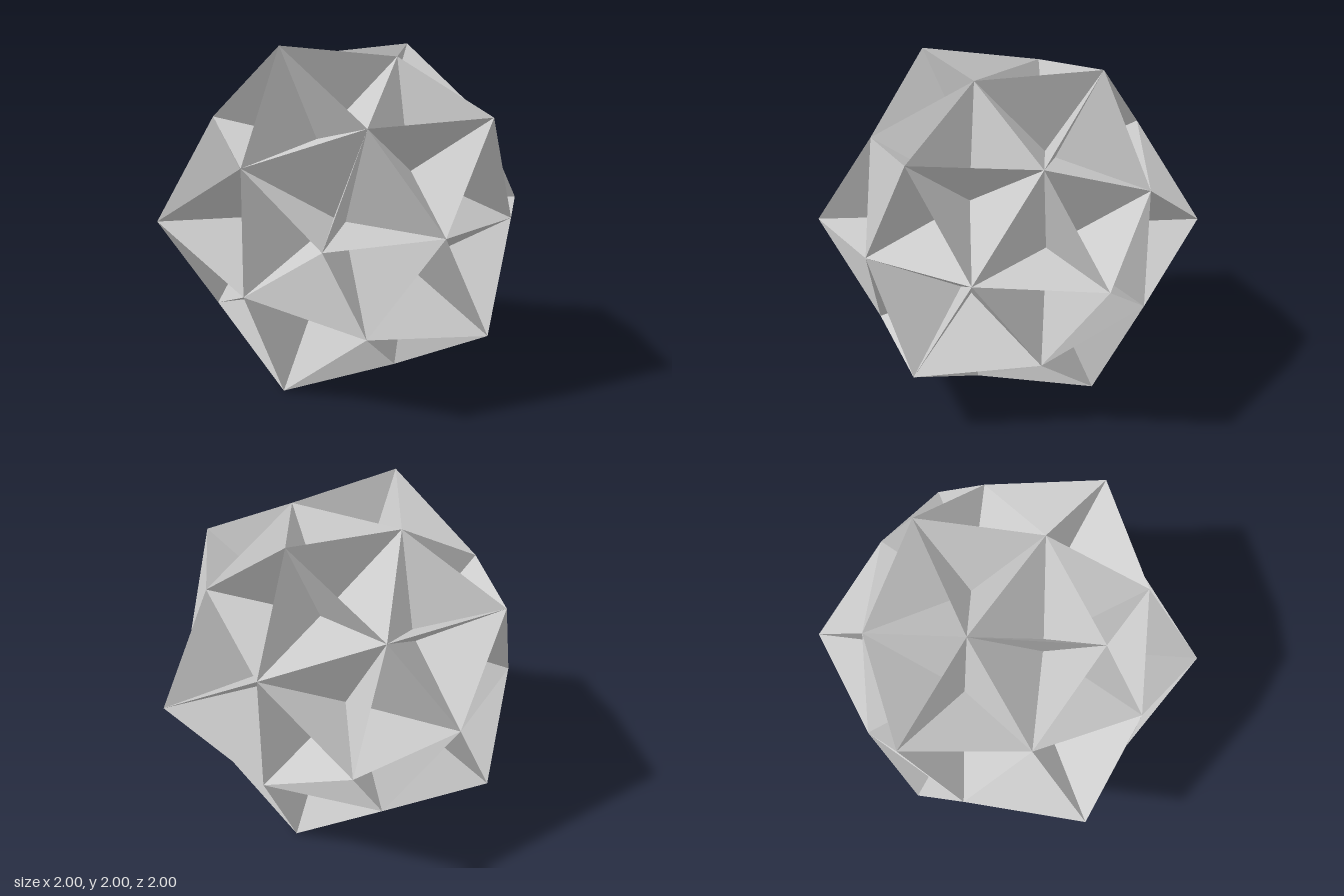
import * as THREE from 'three';

const PHI = (1 + Math.sqrt(5)) / 2;
const DENT = 0.438; // depth of each three-sided hollow

// Signed, cyclic permutations of (0, a, b)
function cyclicPoints(a, b) {
  const points = [];
  for (const s of [-1, 1]) {
    for (const t of [-1, 1]) {
      const p = [0, s * a, t * b];
      for (let i = 0; i < 3; i++) {
        points.push(new THREE.Vector3(p[i], p[(i + 1) % 3], p[(i + 2) % 3]));
      }
    }
  }
  return points;
}

export function createModel() {
  const group = new THREE.Group();
  group.name = 'dentedStarPolyhedron';

  // Outer tips: 12 icosahedron corners
  const tips = cyclicPoints(1 / PHI, 1);

  // Ridge corners: 20 dodecahedron corners on the unit sphere
  const k = 1 / Math.sqrt(3);
  const corners = cyclicPoints(k * PHI, k / PHI);
  for (const x of [-k, k]) for (const y of [-k, k]) for (const z of [-k, k]) {
    corners.push(new THREE.Vector3(x, y, z));
  }

  // Each tip and neighbouring ridge edge frame one triangular hollow
  const positions = [];
  const near = (a, b) => a.distanceTo(b) < 0.8;
  const addFace = (...pts) => pts.forEach((p) => positions.push(p.x, p.y + 1, p.z));
  for (const tip of tips) {
    const ring = corners.filter((c) => near(c, tip));
    ring.forEach((p, i) => ring.slice(i + 1).forEach((q) => {
      if (!near(p, q)) return;
      let [b, c] = [p, q];
      const normal = new THREE.Triangle(tip, b, c).getNormal(new THREE.Vector3());
      if (normal.dot(tip) < 0) {
        [b, c] = [c, b];
        normal.negate();
      }
      const apex = tip.clone().add(b).add(c).divideScalar(3).addScaledVector(normal, -DENT);
      addFace(tip, b, apex);
      addFace(b, c, apex);
      addFace(c, tip, apex);
    }));
  }

  const geometry = new THREE.BufferGeometry();
  geometry.setAttribute('position', new THREE.Float32BufferAttribute(positions, 3));
  geometry.computeVertexNormals();

  const mesh = new THREE.Mesh(
    geometry,
    new THREE.MeshStandardMaterial({ color: 0xcccccc, flatShading: true })
  );
  mesh.name = 'dentedShell';
  group.add(mesh);
  return group;
}
